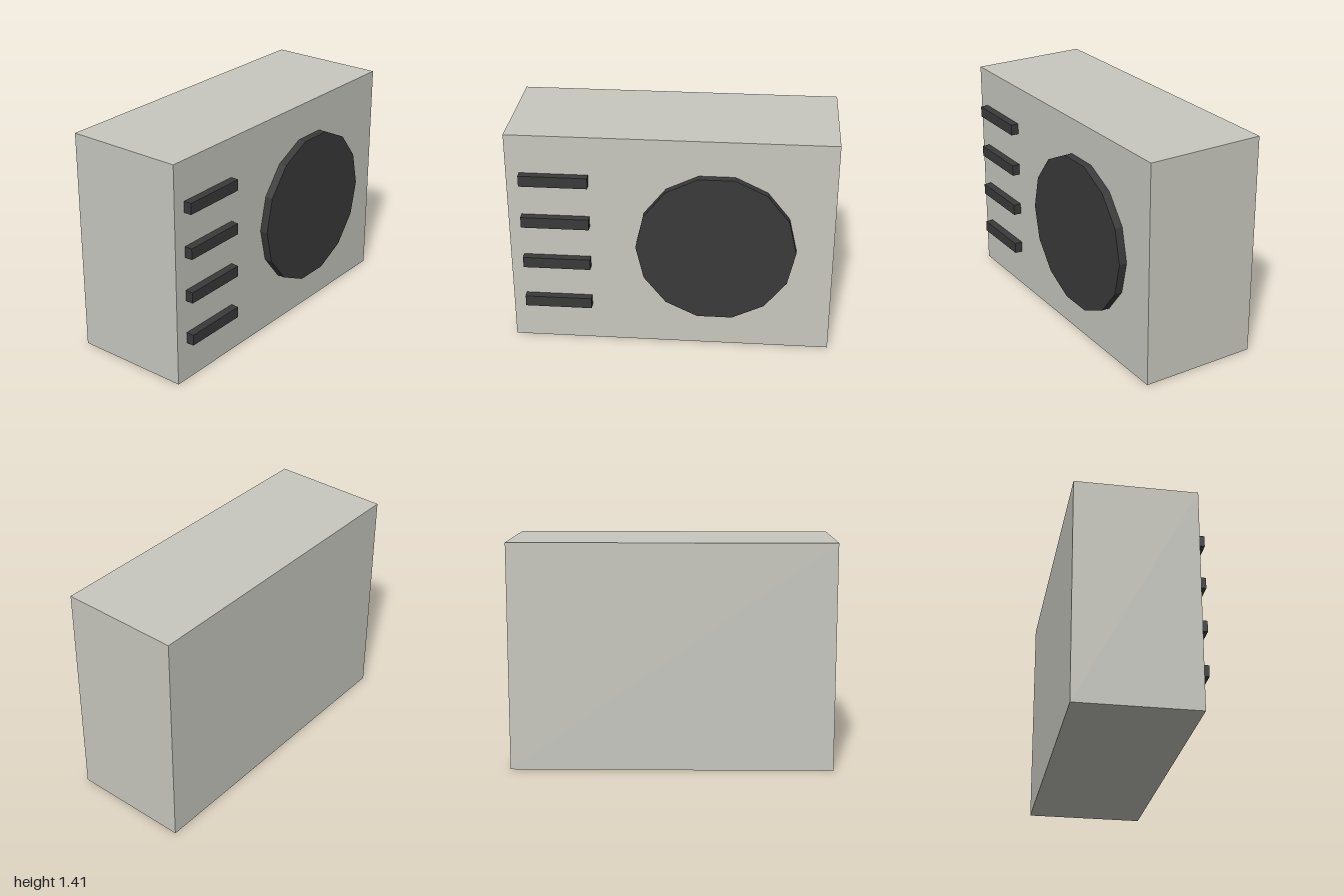
import * as THREE from 'three';

export function createModel() {
  const group = new THREE.Group();
  const caseMaterial = new THREE.MeshStandardMaterial({ color: 0xc8c8c0, flatShading: true });
  const darkMaterial = new THREE.MeshStandardMaterial({ color: 0x3a3a3a, flatShading: true });

  const add = (name, geometry, material, x, y, z) => {
    const mesh = new THREE.Mesh(geometry, material);
    mesh.name = name;
    mesh.position.set(x, y, z);
    group.add(mesh);
    return mesh;
  };

  const height = 1.41;
  const frontZ = 0.35; // front face of the housing
  const relief = 0.05; // how far the front parts stand out
  const embed = 0.01; // how far they sink into the housing
  const depth = relief + embed;
  const partZ = frontZ + (relief - embed) / 2;

  // Housing
  add('housing', new THREE.BoxGeometry(2, height, 0.75), caseMaterial, 0, height / 2, frontZ - 0.375);

  // Fan cover: a 14-sided disc with corners pointing left and right
  const disc = new THREE.CylinderGeometry(0.492, 0.492, depth, 14, 1, false, Math.PI / 2);
  disc.rotateX(Math.PI / 2);
  add('fanCover', disc, darkMaterial, 0.28, height / 2, partZ);

  // Vent slats, evenly spaced up the front
  const slat = new THREE.BoxGeometry(0.42, 0.07, depth);
  for (let i = 1; i <= 4; i++) {
    add(`ventSlat${i}`, slat, darkMaterial, -0.707, (height * i) / 5, partZ);
  }

  return group;
}
